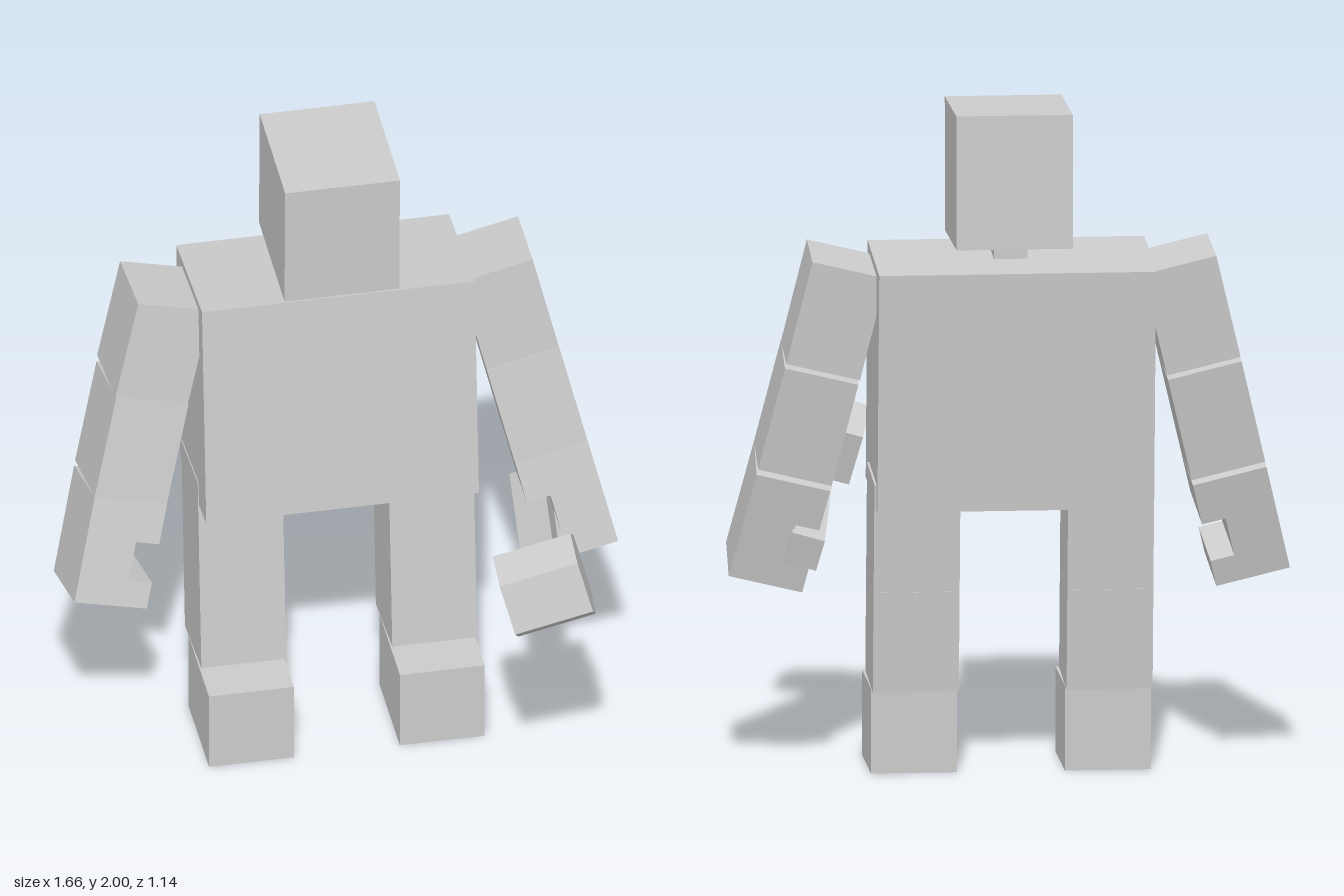
import * as THREE from 'three';

const material = new THREE.MeshStandardMaterial({ color: 0xcccccc, flatShading: true });

function add(parent, name, geometry, x, y, z, tilt = 0) {
  const mesh = new THREE.Mesh(geometry, material);
  mesh.name = name;
  mesh.position.set(x, y, z);
  mesh.rotation.x = tilt;
  parent.add(mesh);
  return mesh;
}

const box = (w, h, d) => new THREE.BoxGeometry(w, h, d);

// Box hung from the middle of its front top edge
const hungBox = (w, h, d) => box(w, h, d).translate(0, -h / 2, -d / 2);

const polygon = (points) => new THREE.Shape(points.map(([x, y]) => new THREE.Vector2(x, y)));

const extrude = (shape, depth) => new THREE.ExtrudeGeometry(shape, { depth, bevelEnabled: false });

// Fist with a square grip slot open towards the body
function handGeometry(side, w, h, d) {
  const r = w / 2;
  const profile = [
    [-r, 0], [-r, -h], [r, -h], [r, -0.252], [0.04, -0.252], [0.04, -0.13], [r, -0.13], [r, 0],
  ];
  return extrude(polygon(profile.map(([x, y]) => [-side * x, y])), d).translate(0, 0, -d);
}

// Arm: three segments, each swung a little further forward
function createArm(side) {
  const w = 0.224, d = 0.255;
  const arm = new THREE.Group();
  arm.name = side > 0 ? 'leftArm' : 'rightArm';
  arm.position.set(side * 0.484, 1.554, 0);
  arm.rotation.z = side * 0.236;
  add(arm, 'upperArm', hungBox(w, 0.32, d), 0, 0, -0.225, -0.09);
  add(arm, 'forearm', hungBox(w, 0.325, d), 0, -0.315, -0.189, -0.165);
  add(arm, 'hand', handGeometry(side, w, 0.335, d), 0, -0.635, -0.135, -0.235);
  return arm;
}

// Leg: thigh and shin in line, with a level foot
function createLeg(side) {
  const w = 0.255, d = 0.255, tilt = -0.09;
  const leg = new THREE.Group();
  leg.name = side > 0 ? 'leftLeg' : 'rightLeg';
  leg.position.x = side * 0.287;
  add(leg, 'thigh', hungBox(w, 0.33, d), 0, 0.909, -0.224, tilt);
  add(leg, 'shin', hungBox(w, 0.306, d), 0, 0.58, -0.194, tilt);
  add(leg, 'foot', box(w, 0.255, 0.314), 0, 0.1275, -0.206);
  return leg;
}

// Hammer held forward in the left hand
function createHammer() {
  const hammer = new THREE.Group();
  hammer.name = 'hammer';
  hammer.position.set(0.5, 0.875, 0.435);
  hammer.rotation.set(-0.28, -0.067, 0.27, 'ZYX');
  add(hammer, 'hammerHandle', box(0.1, 0.1, 0.83), 0, 0, -0.415);
  const width = 0.24;
  const section = polygon([
    [0.115, -0.08], [0.115, 0.08], [0, 0.133], [-0.115, 0.08], [-0.115, -0.08], [0, -0.133],
  ]);
  const head = extrude(section, width).translate(0, 0, -width / 2).rotateY(-Math.PI / 2);
  add(hammer, 'hammerHead', head, 0, 0, 0);
  return hammer;
}

export function createModel() {
  const model = new THREE.Group();
  model.name = 'blockFigure';
  add(model, 'head', box(0.345, 0.4, 0.395), 0.004, 1.792, -0.338, 0.027);
  add(model, 'neck', box(0.1, 0.12, 0.18), 0.004, 1.56, -0.31);
  add(model, 'torso', box(0.82, 0.725, 0.4), -0.002, 1.186, -0.336, -0.09);
  for (const side of [-1, 1]) model.add(createArm(side), createLeg(side));
  model.add(createHammer());
  return model;
}
